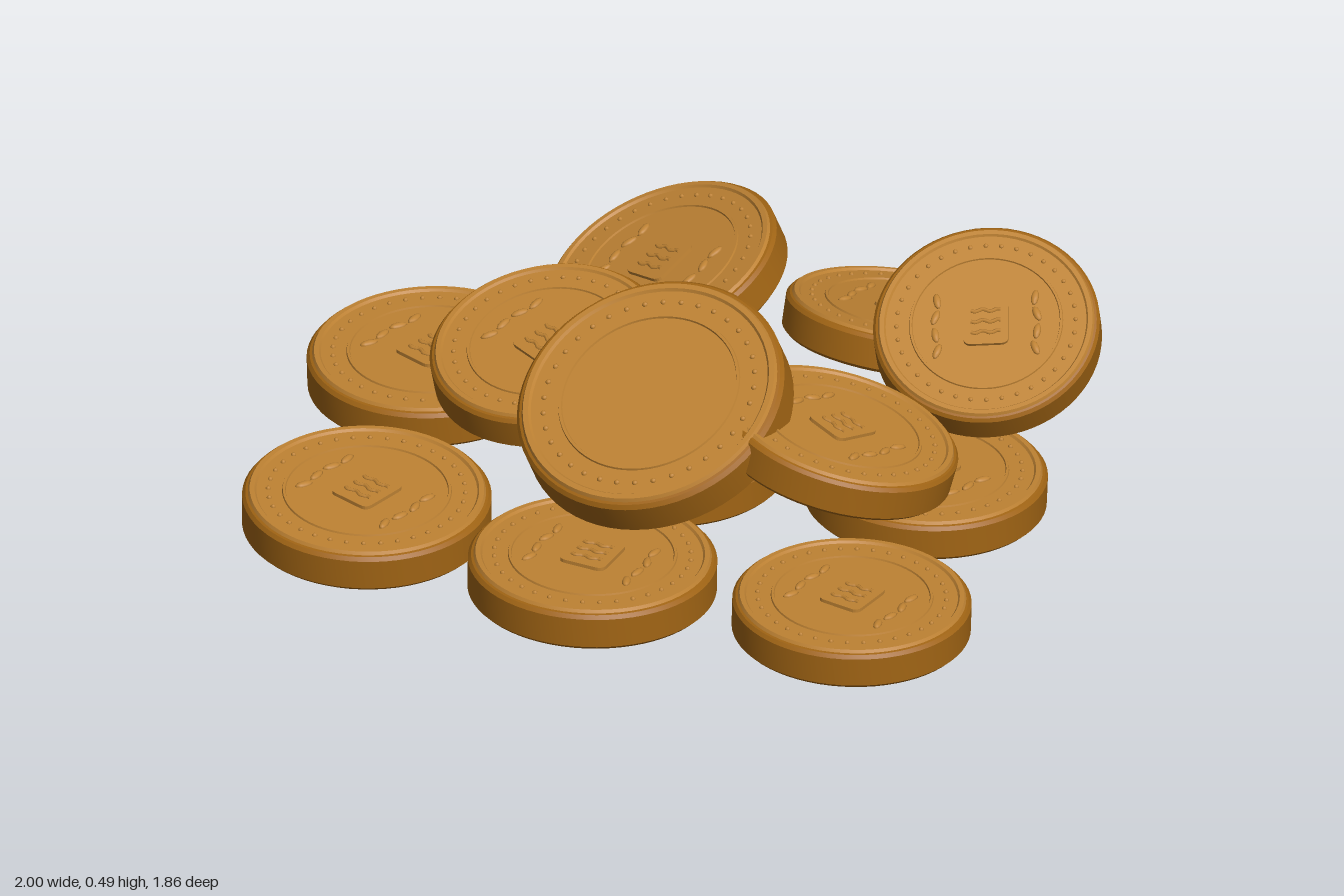
import * as THREE from 'three';
import { mergeGeometries, toCreasedNormals } from 'three/addons/utils/BufferGeometryUtils.js';

const bodyMaterial = new THREE.MeshStandardMaterial({ color: 0xa06414 });
bodyMaterial.name = 'dark bronze';
const faceMaterial = new THREE.MeshStandardMaterial({ color: 0xbe8233 });
faceMaterial.name = 'golden bronze';

const lathe = (points) => toCreasedNormals(
  new THREE.LatheGeometry(points.map(([r, y]) => new THREE.Vector2(r, y)), 64), 0.4);

// All coin parts are made for a coin of radius 1, centred on its middle.
const FIELD = 0.15;

function bodyGeometry() {
  return lathe([[0, -0.17], [0.97, -0.17], [1, -0.14], [1, 0.11], [0.975, 0.14], [0.955, 0.145]]);
}

// Raised rim, sunken field and inner ring
function faceGeometry() {
  return lathe([[0.955, 0.145], [0.94, 0.17], [0.9, 0.17], [0.885, FIELD], [0.68, FIELD],
    [0.675, 0.165], [0.655, 0.165], [0.65, FIELD], [0, FIELD]]);
}

function beadGeometry() {
  const beads = [];
  const count = 36;
  for (let i = 0; i < count; i++) {
    const a = (i / count) * Math.PI * 2;
    beads.push(new THREE.SphereGeometry(0.022, 8, 5)
      .translate(Math.cos(a) * 0.79, FIELD, Math.sin(a) * 0.79));
  }
  return mergeGeometries(beads);
}

// Leaf sprays on both sides of the plaque
function leafGeometry() {
  const leaves = [];
  for (const side of [-1, 1]) {
    for (let i = 0; i < 4; i++) {
      const a = -0.55 + i * 0.36;
      leaves.push(new THREE.SphereGeometry(1, 10, 6)
        .scale(0.035, 0.028, 0.08)
        .rotateY(side * (i % 2 ? 0.35 : -0.15))
        .translate(side * (0.32 + 0.13 * Math.cos(a)), FIELD, 0.5 * Math.sin(a) + 0.02));
    }
  }
  return mergeGeometries(leaves);
}

// Rounded plaque
function plaqueGeometry() {
  const w = 0.2, h = 0.23, c = 0.07;
  const s = new THREE.Shape();
  s.moveTo(-w + c, -h);
  s.lineTo(w - c, -h);
  s.quadraticCurveTo(w, -h, w, -h + c);
  s.lineTo(w, h - c);
  s.quadraticCurveTo(w, h, w - c, h);
  s.lineTo(-w + c, h);
  s.quadraticCurveTo(-w, h, -w, h - c);
  s.lineTo(-w, -h + c);
  s.quadraticCurveTo(-w, -h, -w + c, -h);
  return new THREE.ExtrudeGeometry(s, { depth: 0.035, bevelEnabled: false, curveSegments: 5 })
    .rotateX(-Math.PI / 2).translate(0, FIELD - 0.005, 0);
}

// Three wavy ridges on the plaque
function ridgeGeometry() {
  return mergeGeometries([-0.11, 0, 0.11].map((z) => {
    const points = [];
    for (let i = 0; i <= 8; i++) {
      points.push(new THREE.Vector3(-0.13 + i * 0.0325, 0.182, z + 0.012 * Math.sin(i * 1.5)));
    }
    return new THREE.TubeGeometry(new THREE.CatmullRomCurve3(points), 16, 0.018, 6);
  }));
}

// name, radius, centre, tilt of the normal in x and z, turn in degrees, plain face
const COINS = [
  ['backCoin', 0.28, [0.19, 0.125, -0.655], [0, -0.28], 5],
  ['backRightLeaningCoin', 0.267, [0.53, 0.295, -0.475], [0.2, 0.5], 30],
  ['backLeftLeaningCoin', 0.288, [-0.29, 0.25, -0.38], [-0.27, 0.29], -14],
  ['leftFlatCoin', 0.293, [-0.705, 0.067, 0], [-0.02, 0.02], -14],
  ['leftUpperCoin', 0.28, [-0.35, 0.235, 0.055], [-0.04, 0.24], -20],
  ['centreFlatCoin', 0.285, [-0.035, 0.065, 0.04], [0, 0], 0],
  ['rightUpperCoin', 0.285, [0.435, 0.235, 0.05], [0.2, -0.19], -16],
  ['rightFlatCoin', 0.285, [0.565, 0.066, -0.137], [0.02, -0.04], -20],
  ['topPlainCoin', 0.326, [0.04, 0.305, 0.225], [-0.04, 0.52], 0, true],
  ['frontLeftCoin', 0.293, [-0.505, 0.066, 0.63], [0.02, 0.02], -11],
  ['frontCoin', 0.293, [0.1, 0.067, 0.61], [0, -0.03], 5],
  ['frontRightCoin', 0.281, [0.718, 0.067, 0.458], [0.01, -0.03], -2],
];

export function createModel() {
  const model = new THREE.Group();
  model.name = 'coinPile';
  const plain = [
    ['body', bodyGeometry(), bodyMaterial],
    ['face', faceGeometry(), faceMaterial],
    ['beads', beadGeometry(), faceMaterial],
  ];
  const emblem = [
    ['leaves', leafGeometry(), faceMaterial],
    ['plaque', plaqueGeometry(), faceMaterial],
    ['ridges', ridgeGeometry(), faceMaterial],
  ];
  const up = new THREE.Vector3(0, 1, 0);
  for (const [name, radius, centre, [tx, tz], turn, isPlain] of COINS) {
    const coin = new THREE.Group();
    coin.name = name;
    for (const [part, geometry, material] of isPlain ? plain : [...plain, ...emblem]) {
      const mesh = new THREE.Mesh(geometry, material);
      mesh.name = part;
      coin.add(mesh);
    }
    const spin = new THREE.Quaternion().setFromAxisAngle(up, THREE.MathUtils.degToRad(turn));
    coin.quaternion.setFromUnitVectors(up, new THREE.Vector3(tx, 1, tz).normalize()).multiply(spin);
    coin.position.set(...centre);
    coin.scale.setScalar(radius);
    model.add(coin);
  }
  return model;
}
